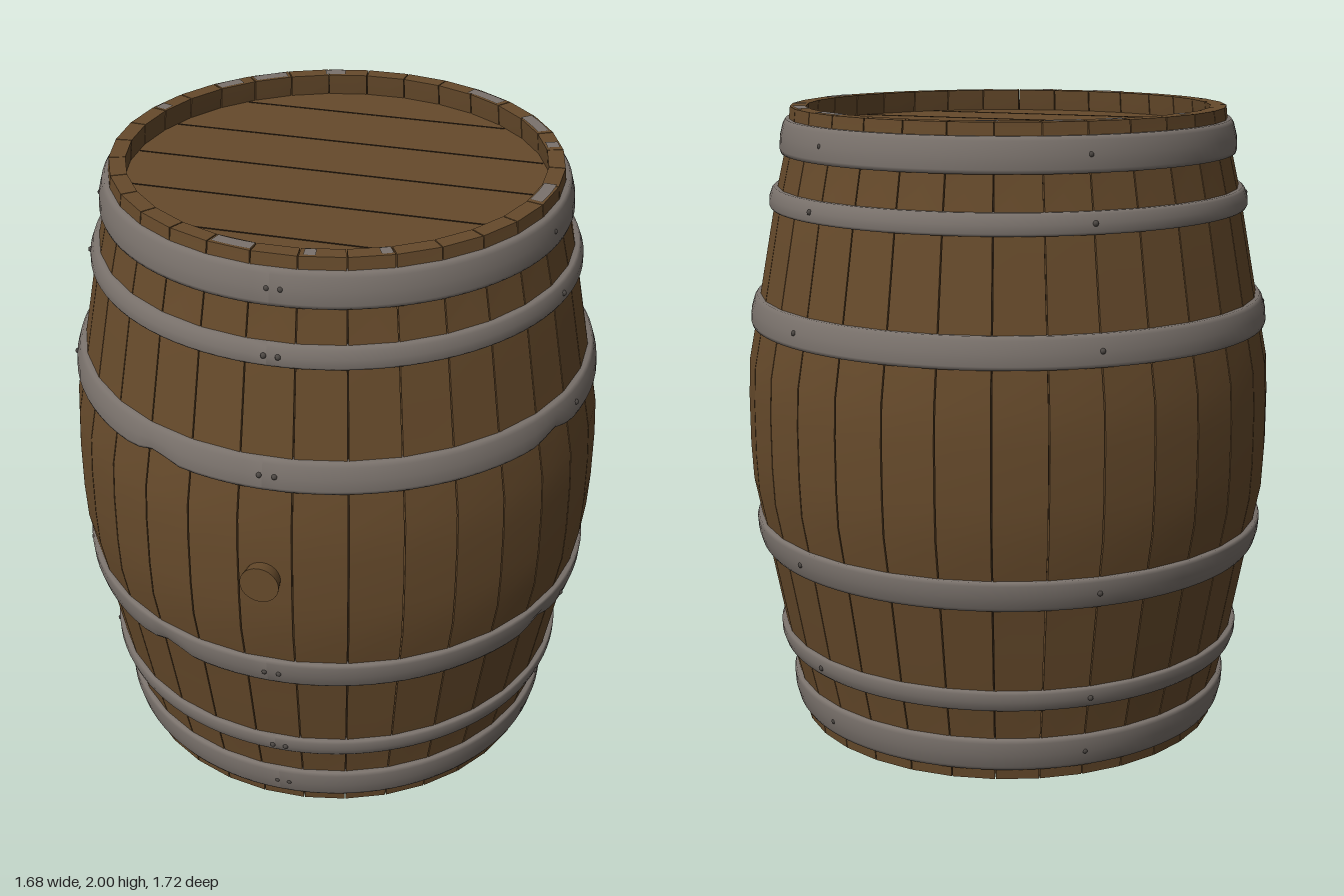
import * as THREE from 'three';
import { toCreasedNormals } from 'three/addons/utils/BufferGeometryUtils.js';

const material = (name, color, side = THREE.FrontSide) => {
  const m = new THREE.MeshStandardMaterial({ color, side });
  m.name = name;
  return m;
};

// Barrel radius at height y, symmetric about y = 1
const PROFILE = [[0, 0.848], [0.2, 0.838], [0.36, 0.807], [0.73, 0.738], [0.9, 0.699], [1, 0.688]];
function radiusAt(y) {
  const t = Math.min(1, Math.abs(y - 1));
  let i = 1;
  while (i < PROFILE.length - 1 && t > PROFILE[i][0]) i++;
  const [a, ra] = PROFILE[i - 1], [b, rb] = PROFILE[i];
  return ra + (rb - ra) * (t - a) / (b - a);
}

// One curved plank, lofted from four-cornered cross-sections
function staveGeometry(phi0, phi1) {
  const rows = [0.002, 0.1, 0.27, 0.45, 0.64, 0.8, 0.92, 1.08, 1.2, 1.36, 1.55, 1.73, 1.9, 1.998];
  const rings = rows.map((y) => {
    const r = radiusAt(y), inner = r - 0.05;
    return [[r, phi0], [r, phi1], [inner, phi1], [inner, phi0]]
      .map(([q, p]) => [q * Math.sin(p), y, q * Math.cos(p)]);
  });
  const pos = [];
  const quad = (a, b, c, d) => pos.push(...a, ...b, ...c, ...a, ...c, ...d);
  for (let j = 0; j < rings.length - 1; j++) {
    for (let k = 0; k < 4; k++) {
      const n = (k + 1) % 4;
      quad(rings[j][k], rings[j][n], rings[j + 1][n], rings[j + 1][k]);
    }
  }
  quad(...rings[rings.length - 1]);
  quad(...[...rings[0]].reverse());
  const g = new THREE.BufferGeometry();
  g.setAttribute('position', new THREE.Float32BufferAttribute(pos, 3));
  return toCreasedNormals(g, 0.6);
}

// Iron band with rounded edges; dents lift its lower edge
function hoopGeometry(y0, y1, dents) {
  const h = y1 - y0;
  const section = [[0, -0.012], [0, 0.011], [0.12, 0.017], [0.5, 0.021], [0.88, 0.017], [1, 0.011], [1, -0.012]];
  const slope = (radiusAt(y1) - radiusAt(y0)) / h;
  const pts = section.map(([t, d]) =>
    new THREE.Vector2(radiusAt(y0) + slope * h * t + d, y0 + h * t));
  const g = new THREE.LatheGeometry(pts, 96);
  const p = g.attributes.position;
  for (let i = 0; i < p.count; i++) {
    const phi = Math.atan2(p.getX(i), p.getZ(i));
    const low = 1 - (p.getY(i) - y0) / h;
    for (const a of dents) {
      const w = Math.exp(-(((phi - a) / 0.07) ** 2)) * low;
      p.setY(i, p.getY(i) + 0.02 * w);
      const s = 1 - 0.008 * w;
      p.setX(i, p.getX(i) * s);
      p.setZ(i, p.getZ(i) * s);
    }
  }
  g.computeVertexNormals();
  return g;
}

export function createModel() {
  const wood = material('oak wood', 0x664a2b);
  const iron = material('hoop iron', 0x7a726c);
  const rivetIron = material('rivet iron', 0x4c4743);
  const seam = material('dark seam', 0x2a1e12, THREE.DoubleSide);

  const model = new THREE.Group();
  model.name = 'barrel';
  const body = new THREE.Group();
  body.name = 'barrelBody';
  body.position.z = -0.015;
  model.add(body);
  const add = (name, geometry, mat, parent = body) => {
    const mesh = new THREE.Mesh(geometry, mat);
    mesh.name = name;
    parent.add(mesh);
    return mesh;
  };

  // Staves with thin gaps
  const COUNT = 32, step = (Math.PI * 2) / COUNT, gap = 0.0025, offset = 0.106;
  for (let i = 0; i < COUNT; i++) {
    add('stave', staveGeometry(offset + i * step + gap, offset + (i + 1) * step - gap), wood);
  }

  // Dark lining seen through the gaps
  const lining = [];
  for (let i = 0; i <= 16; i++) {
    const y = 0.05 + (1.9 * i) / 16;
    lining.push(new THREE.Vector2(radiusAt(y) - 0.022, y));
  }
  add('seamLining', new THREE.LatheGeometry(lining, COUNT, offset), seam);

  // Recessed heads with plank seams
  for (const [name, y, out] of [['topHead', 1.92, 1], ['bottomHead', 0.08, -1]]) {
    add(name, new THREE.CylinderGeometry(0.655, 0.655, 0.02, 48), wood).position.y = y;
    for (const z of [-0.475, -0.24, -0.01, 0.225, 0.455]) {
      const length = 2 * Math.sqrt(0.64 ** 2 - z * z);
      add(name + 'Seam', new THREE.BoxGeometry(length, 0.002, 0.006), seam)
        .position.set(0, y + out * 0.0105, z);
    }
  }

  // Hoops and rivets, mirrored top to bottom
  const bands = [[0.04, 0.145], [0.25, 0.315], [0.59, 0.685]];
  const hoops = [...bands, ...bands.map(([a, b]) => [2 - b, 2 - a])];
  for (const [y0, y1] of hoops) {
    const wide = y0 > 0.5 && y1 < 1.5;
    add('hoop', hoopGeometry(y0, y1, wide ? [-0.44, 1.17] : []), iron);
    const y = (y0 + y1) / 2, r = radiusAt(y) + 0.019;
    for (const phi of [-0.01, 0.045, 1.33, 2.62, -2.45, -1.2]) {
      const rivet = add('rivet', new THREE.SphereGeometry(0.009, 8, 6), rivetIron);
      rivet.position.set(r * Math.sin(phi), y, r * Math.cos(phi));
    }
  }

  // Worn patches on the top rim: [x, z, arc]
  const patches = [[-0.18, -0.67, 0.1], [-0.38, -0.57, 0.17], [-0.5, -0.48, 0.13], [-0.64, -0.23, 0.06],
    [0.36, -0.59, 0.2], [0.55, -0.4, 0.19], [0.63, -0.25, 0.06], [0.66, 0.1, 0.19],
    [-0.12, 0.63, 0.18], [0.1, 0.64, 0.05], [0.3, 0.58, 0.05]];
  for (const [x, z, arc] of patches) {
    const mid = Math.atan2(-(z + 0.015), x);
    const g = new THREE.RingGeometry(0.642, 0.68, 6, 1, mid - arc / 2, arc);
    add('rimWear', g.rotateX(-Math.PI / 2), iron).position.y = 2;
  }

  // Bung in the front
  const bung = add('bung', new THREE.CylinderGeometry(0.06, 0.05, 0.07, 24), wood, model);
  bung.rotation.x = Math.PI / 2;
  bung.position.set(0, 1.01, 0.83);

  return model;
}
